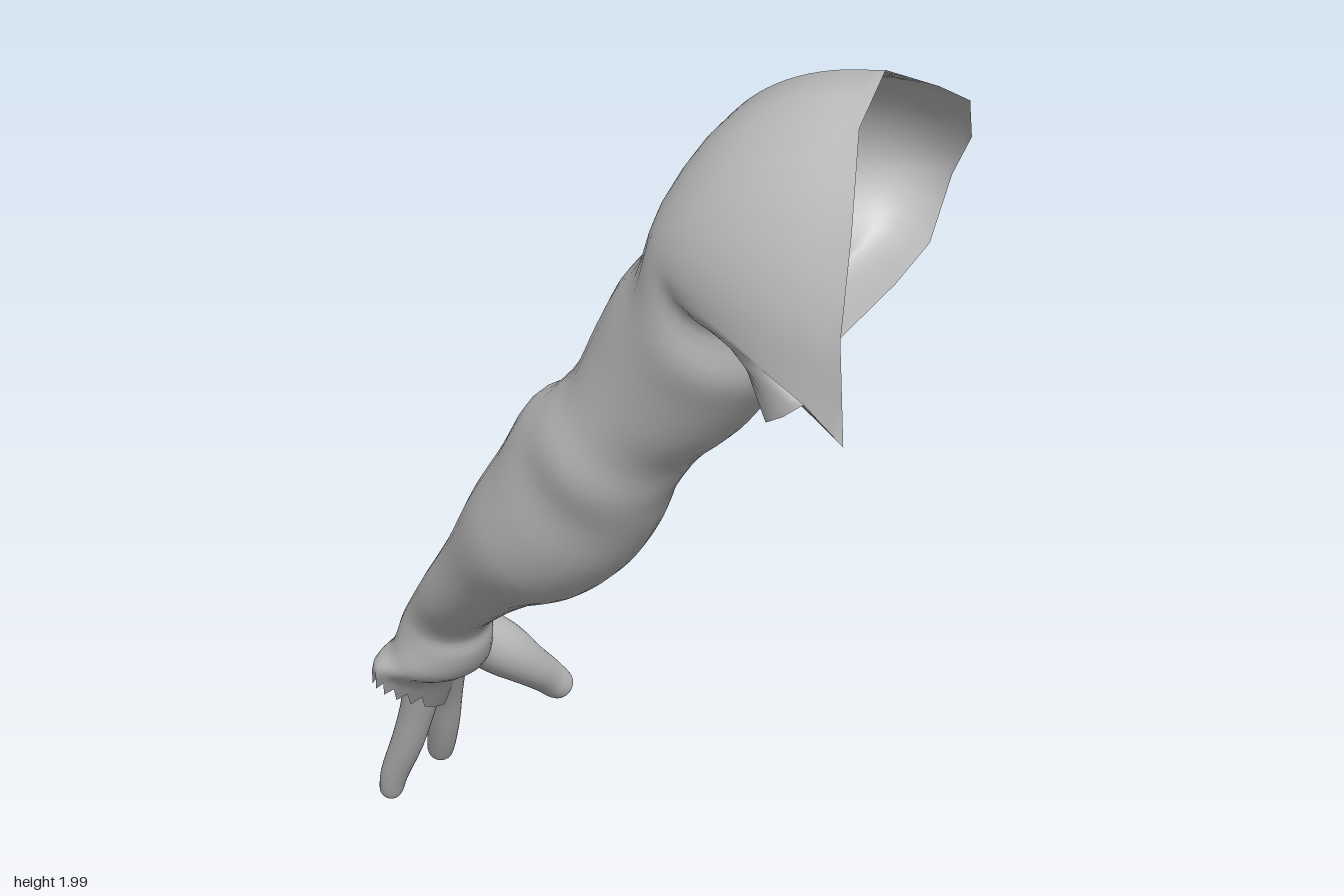
import * as THREE from 'three';

const N = 32; // points around every loop
const V = (x, y, z) => new THREE.Vector3(x, y, z);
const material = new THREE.MeshStandardMaterial({ color: 0xcccccc, side: THREE.DoubleSide });

// Skin closed loops of N points, smoothed lengthwise
function loft(name, loops, sub) {
  const rows = (loops.length - 1) * sub;
  const columns = Array.from({ length: N }, (_, j) => new THREE.CatmullRomCurve3(loops.map(l => l[j])));
  const pos = [], index = [];
  for (let i = 0; i <= rows; i++)
    for (let j = 0; j < N; j++) pos.push(...columns[j].getPoint(i / rows).toArray());
  for (let i = 0; i < rows; i++)
    for (let j = 0; j < N; j++) {
      const a = i * N + j, b = i * N + (j + 1) % N;
      index.push(a, b, a + N, b, b + N, a + N);
    }
  const g = new THREE.BufferGeometry();
  g.setAttribute('position', new THREE.Float32BufferAttribute(pos, 3));
  g.setIndex(index);
  g.computeVertexNormals();
  const mesh = new THREE.Mesh(g, material);
  mesh.name = name;
  return mesh;
}

// Oval section between an upper and a lower edge point, with a depth range and a slant
function section([ux, uy, lx, ly, z0, z1, slant = 0, jag = 0]) {
  const up = V(ux - lx, uy - ly, 0).multiplyScalar(0.5);
  const axis = V(up.y, -up.x, 0).normalize();
  return Array.from({ length: N }, (_, j) => {
    const t = j / N * Math.PI * 2, s = Math.sin(t), dz = s * (z1 - z0) / 2;
    const step = s > 0 ? jag * (j % 2) : 0;
    return V((ux + lx) / 2, (uy + ly) / 2, (z0 + z1) / 2 + dz)
      .addScaledVector(up, Math.cos(t)).addScaledVector(axis, slant * dz + step);
  });
}

// Tapered finger along a path of [x, y, z, radius] with a rounded tip
function finger(name, path) {
  const c = path.map(p => V(p[0], p[1], p[2]));
  const dir = c.at(-1).clone().sub(c[0]).normalize();
  const side = V(0, 0, 1).cross(dir).normalize(), other = dir.clone().cross(side);
  const ring = (p, r) => Array.from({ length: N }, (_, j) => {
    const t = j / N * Math.PI * 2;
    return p.clone().addScaledVector(side, r * Math.cos(t)).addScaledVector(other, r * Math.sin(t));
  });
  const loops = c.map((p, i) => ring(p, path[i][3]));
  const r = path.at(-1)[3];
  for (const a of [0.5, 0.95, 1.3, 1.56])
    loops.push(ring(c.at(-1).clone().addScaledVector(dir, r * Math.sin(a)), r * Math.cos(a)));
  return loft(name, loops, 3);
}

export function createModel() {
  const group = new THREE.Group();
  group.name = 'arm';

  // Torn palm edge, wrist, forearm, elbow, upper arm
  const arm = [
    [-0.665, 0.295, -0.60, 0.265, -0.235, -0.01, 0.65, 0.02],
    [-0.645, 0.37, -0.555, 0.335, -0.225, 0, 0.3],
    [-0.605, 0.43, -0.485, 0.38, -0.20, 0, 0.1],
    [-0.58, 0.49, -0.455, 0.435, -0.17, 0],
    [-0.555, 0.53, -0.445, 0.48, -0.155, 0.005],
    [-0.50, 0.605, -0.375, 0.55, -0.13, 0.04],
    [-0.42, 0.72, -0.26, 0.64, -0.12, 0.085],
    [-0.33, 0.87, -0.14, 0.715, -0.12, 0.14],
    [-0.26, 0.98, -0.05, 0.80, -0.12, 0.16],
    [-0.20, 1.08, 0.02, 0.90, -0.10, 0.17],
    [-0.13, 1.14, 0.07, 0.99, -0.075, 0.19],
    [-0.07, 1.22, 0.12, 1.07, -0.10, 0.19],
    [-0.02, 1.33, 0.20, 1.15, -0.12, 0.20],
    [0.03, 1.42, 0.27, 1.24, -0.12, 0.215],
    [0.10, 1.51, 0.325, 1.33, -0.115, 0.235],
    [0.16, 1.65, 0.345, 1.43, -0.13, 0.25],
  ].map(section);

  // Shoulder: swell loop and open rim, from the top round the front
  const swell = new THREE.CatmullRomCurve3([
    [0.25, 1.88, 0.06], [0.28, 1.86, 0.16], [0.33, 1.80, 0.25], [0.38, 1.70, 0.31],
    [0.44, 1.60, 0.33], [0.42, 1.56, 0.31], [0.39, 1.55, 0.285], [0.36, 1.55, 0.23],
    [0.355, 1.54, 0.08], [0.35, 1.54, -0.05], [0.36, 1.55, -0.14], [0.36, 1.58, -0.19],
    [0.35, 1.63, -0.21], [0.33, 1.71, -0.19], [0.29, 1.80, -0.12], [0.26, 1.86, -0.03],
  ].map(p => V(...p)), true);
  const rim = [
    [0.58, 2.0, 0.08], [0.615, 1.95, 0.18], [0.70, 1.84, 0.29], [0.735, 1.68, 0.355],
    [0.755, 1.50, 0.37], [0.67, 1.545, 0.37], [0.62, 1.50, 0.365], [0.56, 1.455, 0.34],
    [0.37, 1.36, 0.14], [0.375, 1.37, -0.03], [0.38, 1.42, -0.16], [0.39, 1.47, -0.23],
    [0.42, 1.60, -0.25], [0.49, 1.71, -0.22], [0.56, 1.84, -0.14], [0.585, 1.92, -0.04],
  ].map(p => V(...p));
  const start = arm.at(-1);
  for (const s of [0.2, 0.4, 0.6, 0.8, 1])
    arm.push(start.map((a, j) => {
      const k = j / N * rim.length, i = Math.floor(k);
      const r = rim[i].clone().lerp(rim[(i + 1) % rim.length], k - i);
      return a.clone().multiplyScalar((1 - s) ** 2)
        .addScaledVector(swell.getPoint(j / N), 2 * s * (1 - s)).addScaledVector(r, s * s);
    }));
  group.add(loft('armAndShoulder', arm, 4));

  // Thumb and the two remaining fingers
  group.add(finger('thumb', [[-0.53, 0.44, -0.13, 0.045], [-0.52, 0.37, -0.21, 0.045],
    [-0.515, 0.31, -0.275, 0.034], [-0.52, 0.27, -0.32, 0.029], [-0.52, 0.245, -0.345, 0.026]]));
  group.add(finger('middleFinger', [[-0.625, 0.30, -0.15, 0.034], [-0.655, 0.22, -0.165, 0.028],
    [-0.69, 0.14, -0.18, 0.026], [-0.73, 0.06, -0.193, 0.022], [-0.743, 0.026, -0.2, 0.019]]));
  group.add(finger('indexFinger', [[-0.62, 0.31, -0.19, 0.036], [-0.65, 0.23, -0.225, 0.028],
    [-0.68, 0.15, -0.255, 0.025], [-0.713, 0.075, -0.283, 0.021]]));
  return group;
}
